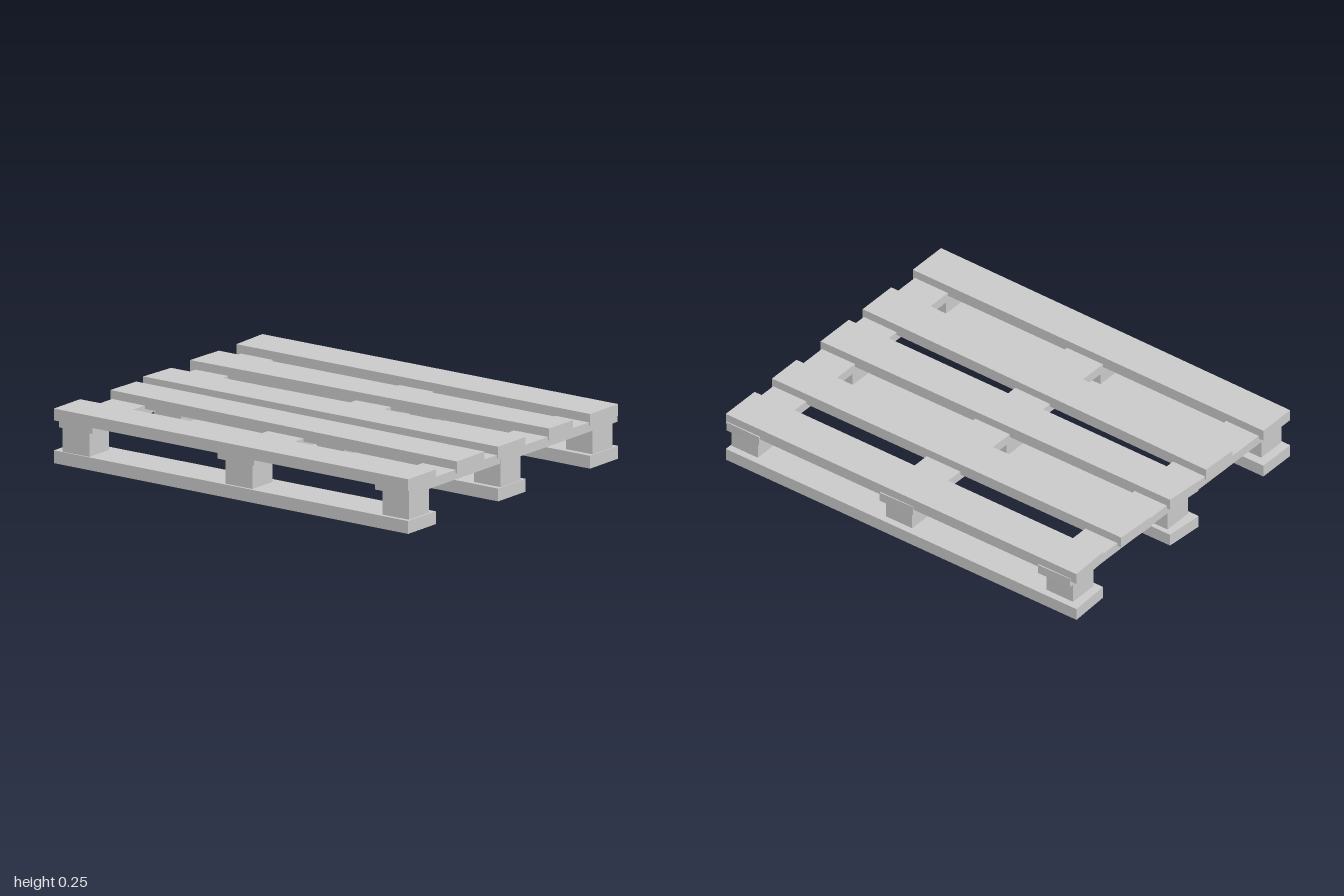
import * as THREE from 'three';

const material = new THREE.MeshStandardMaterial({ color: 0xcccccc, flatShading: true });

// Plank with a four-cornered outline [x, z] seen from above, between two heights
function plank(name, corners, y0, y1) {
  const shape = new THREE.Shape(corners.map(([x, z]) => new THREE.Vector2(x, -z)));
  const geometry = new THREE.ExtrudeGeometry(shape, { depth: y1 - y0, bevelEnabled: false });
  geometry.rotateX(-Math.PI / 2).translate(0, y0, 0);
  const mesh = new THREE.Mesh(geometry, material);
  mesh.name = name;
  return mesh;
}

export function createModel() {
  const group = new THREE.Group();
  group.name = 'pallet';

  // Long boards, slightly crooked: front left, front right, back right, back left
  const boards = [
    [[-0.8, 1], [-0.592, 1], [-0.587, -0.997], [-0.785, -0.997]],
    [[-0.427, 0.995], [-0.217, 0.995], [-0.195, -0.973], [-0.38, -0.981]],
    [[-0.115, 0.995], [0.092, 0.995], [0.085, -0.986], [-0.107, -1]],
    [[0.27, 0.995], [0.45, 0.995], [0.447, -0.988], [0.242, -0.997]],
    [[0.578, 0.995], [0.79, 0.995], [0.79, -0.999], [0.583, -0.99]],
  ];
  boards.forEach((corners, i) => {
    group.add(plank('deckBoard', corners, 0.2, 0.255));
    // Runners repeat the outer and middle boards on the ground
    if (i % 2 === 0) group.add(plank('bottomRunner', corners, 0, 0.06));
  });

  // Cross boards under the deck
  const crossBoards = [
    [[-0.78, 0.988], [0.795, 0.988], [0.797, 0.8], [-0.78, 0.8]],
    [[-0.78, 0.122], [0.797, 0.115], [0.793, -0.072], [-0.78, -0.085]],
    [[-0.78, -0.785], [0.797, -0.785], [0.793, -0.965], [-0.78, -0.972]],
  ];
  for (const corners of crossBoards) group.add(plank('crossBoard', corners, 0.17, 0.215));

  // Nine spacer blocks between runners and cross boards
  for (const x of [-0.705, -0.015, 0.68]) {
    for (const z of [0.915, 0.037, -0.877]) {
      const block = new THREE.Mesh(new THREE.BoxGeometry(0.15, 0.15, 0.15), material);
      block.name = 'spacerBlock';
      block.position.set(x, 0.125, z);
      group.add(block);
    }
  }
  return group;
}
